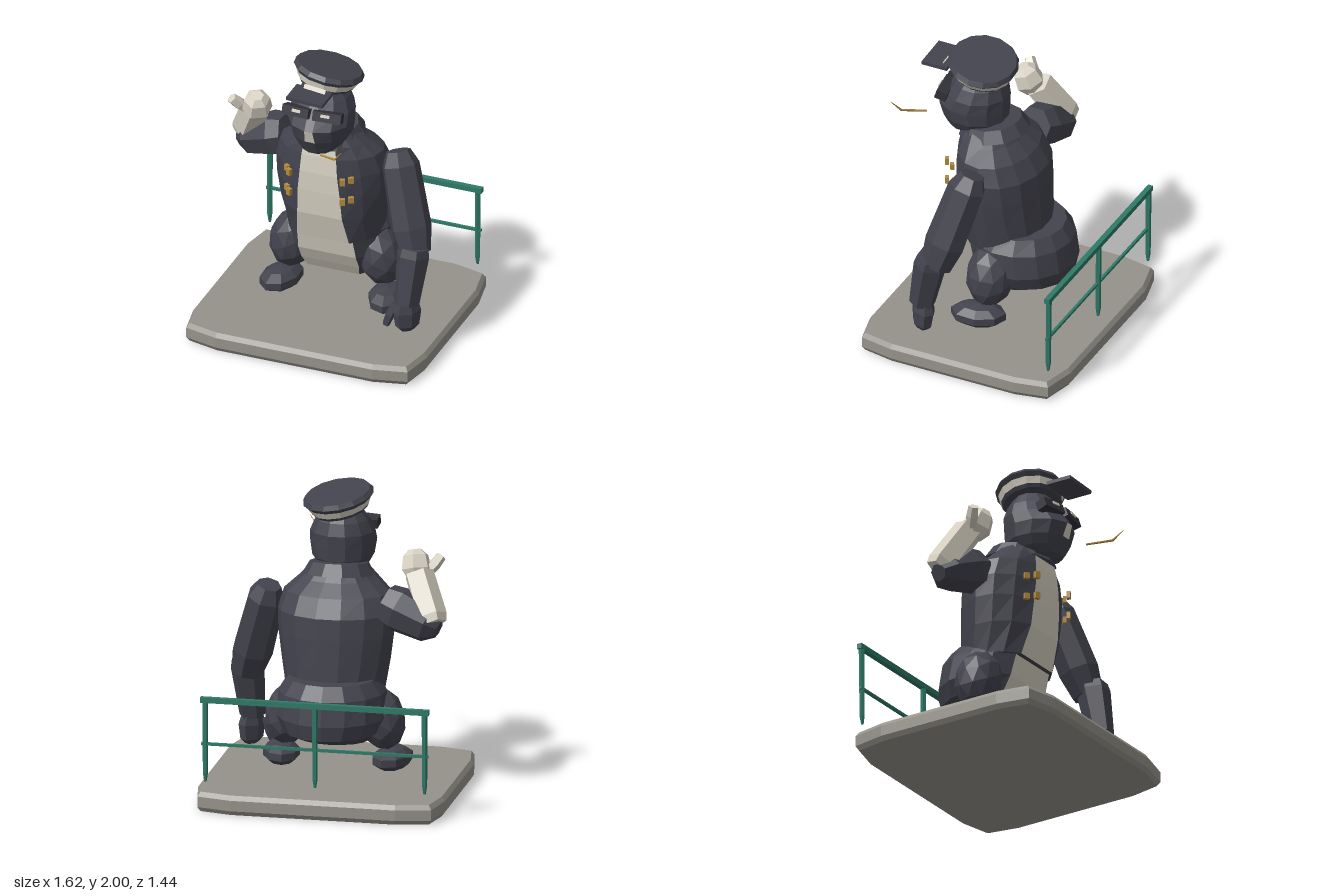
import * as THREE from 'three';

const mat = (name, color) => {
  const m = new THREE.MeshStandardMaterial({ color, flatShading: true });
  m.name = name;
  return m;
};

export function createModel() {
  const root = new THREE.Group();
  root.name = 'seatedCaptain';
  const dark = mat('charcoal', 0x42434d);
  const shade = mat('lensBlack', 0x32323a);
  const cream = mat('cream', 0xd8d2c4);
  const stone = mat('stone', 0x95928a);
  const green = mat('railGreen', 0x2f7a67);
  const gold = mat('gold', 0xb48a40);

  const add = (name, geo, material, pos = [0, 0, 0], rot = [0, 0, 0], parent = root) => {
    const m = new THREE.Mesh(geo, material);
    m.name = name;
    m.position.set(...pos);
    m.rotation.set(...rot);
    parent.add(m);
    return m;
  };
  const box = (name, size, material, pos, rot, parent) =>
    add(name, new THREE.BoxGeometry(...size), material, pos, rot, parent);

  // Rings are [y, centreZ, radiusX, radiusZ, frontHalfWidth]; column 0 is the front strip.
  function loft(rings, sides, isAccent = () => false) {
    const main = [], accent = [];
    const pts = rings.map(([y, c, rx, rz, w]) => {
      const a = Math.asin(Math.min(0.9, w / rx));
      return Array.from({ length: sides }, (_, j) => {
        const t = j === 0 ? -a : a + (j - 1) * (2 * Math.PI - 2 * a) / (sides - 1);
        return [rx * Math.sin(t), y, c + rz * Math.cos(t)];
      });
    });
    const last = rings.length - 1;
    const lowMid = [0, rings[0][0], rings[0][1]], topMid = [0, rings[last][0], rings[last][1]];
    for (let j = 0; j < sides; j++) {
      const k = (j + 1) % sides;
      for (let i = 0; i < last; i++) {
        const A = pts[i][j], B = pts[i][k], C = pts[i + 1][k], D = pts[i + 1][j];
        (isAccent(i, j) ? accent : main).push(...A, ...B, ...C, ...A, ...C, ...D);
      }
      main.push(...lowMid, ...pts[0][k], ...pts[0][j], ...topMid, ...pts[last][j], ...pts[last][k]);
    }
    const g = new THREE.BufferGeometry();
    g.setAttribute('position', new THREE.Float32BufferAttribute([...main, ...accent], 3));
    g.addGroup(0, main.length / 3, 0);
    g.addGroup(main.length / 3, accent.length / 3, 1);
    g.computeVertexNormals();
    return g;
  }

  // Faceted limb from a to b; profile is [fraction, radius] from start to end.
  function limb(name, a, b, profile, material, sides = 6, flat = 1) {
    const A = new THREE.Vector3(...a), d = new THREE.Vector3(...b).sub(A), len = d.length();
    const pts = profile.map(([t, r]) => new THREE.Vector2(r, t * len));
    pts.unshift(new THREE.Vector2(0, profile[0][0] * len));
    pts.push(new THREE.Vector2(0, profile[profile.length - 1][0] * len));
    const g = new THREE.LatheGeometry(pts, sides);
    g.scale(1, 1, flat);
    const m = add(name, g, material, a);
    m.quaternion.setFromUnitVectors(new THREE.Vector3(0, 1, 0), d.normalize());
    return m;
  }

  // Paving slab with clipped corners
  const outline = [];
  for (const [sx, sz, flip] of [[1, 1, 0], [-1, 1, 1], [-1, -1, 0], [1, -1, 1]]) {
    const c = [[0.79, 0.44], [0.75, 0.65], [0.54, 0.70]];
    if (flip) c.reverse();
    outline.push(...c.map(([x, z]) => new THREE.Vector2(sx * x, sz * z)));
  }
  const slab = new THREE.ExtrudeGeometry(new THREE.Shape(outline), {
    depth: 0.07, bevelThickness: 0.03, bevelSize: 0.02, bevelSegments: 1,
  });
  add('slab', slab, stone, [0, 0.04, 0], [-Math.PI / 2, 0, 0]);

  // Railing
  box('topRail', [1.5, 0.035, 0.035], green, [0, 0.755, -0.65]);
  box('midRail', [1.49, 0.018, 0.018], green, [0, 0.46, -0.645]);
  for (const x of [-0.72, 0, 0.72])
    limb('railPost', [x, 0.21, -0.645], [x, 0.76, -0.65], [[0, 0.009], [0.1, 0.018], [1, 0.02]], green, 5);

  // Hips and lower belly
  add('hips', loft([
    [0.38, -0.06, 0.23, 0.17, 0.18], [0.46, -0.14, 0.31, 0.31, 0.2], [0.56, -0.13, 0.36, 0.34, 0.2],
    [0.72, -0.1, 0.35, 0.35, 0.19], [0.81, -0.1, 0.29, 0.29, 0.17],
  ], 13, (i, j) => j === 0), [dark, cream]);

  // Coat with cream shirt front
  add('torso', loft([
    [0.7, -0.01, 0.32, 0.28, 0.18], [0.9, 0.015, 0.355, 0.295, 0.155], [1.08, 0.025, 0.38, 0.295, 0.145],
    [1.22, 0.03, 0.385, 0.29, 0.13], [1.34, 0.06, 0.35, 0.25, 0.12], [1.42, 0.1, 0.26, 0.2, 0.11],
    [1.48, 0.11, 0.2, 0.17, 0.08],
  ], 14, (i, j) => j === 0 && i < 5), [dark, cream]);
  add('collar', new THREE.CylinderGeometry(0.19, 0.235, 0.08, 11), dark, [0, 1.475, 0.1], [0.15, 0, 0]);

  // Legs, feet and coat buttons
  for (const s of [1, -1]) {
    const thigh = add('thigh', new THREE.IcosahedronGeometry(1, 1), dark, [s * 0.305, 0.52, -0.025], [0, 0, s * 0.22]);
    thigh.scale.set(0.155, 0.21, 0.16);
    const foot = add('foot', new THREE.SphereGeometry(1, 8, 5), dark, [s * 0.365, 0.245, 0.03], [0, s * 0.22, 0]);
    foot.scale.set(0.125, 0.078, 0.19);
    for (const y of [1.22, 1.075]) {
      box('innerButton', [0.035, 0.045, 0.025], gold, [s * 0.185, y, 0.345], [0, s * 0.4, 0]);
      box('outerButton', [0.035, 0.04, 0.025], gold, [s * 0.222, y - 0.005, 0.29], [0, s * 0.6, 0]);
    }
  }

  // Lowered left arm
  limb('leftUpperArm', [0.445, 1.35, 0.035], [0.63, 0.72, 0.2],
    [[0, 0.08], [0.14, 0.125], [0.75, 0.135], [1, 0.105]], dark, 7);
  limb('leftForearm', [0.635, 0.78, 0.23], [0.615, 0.4, 0.31],
    [[0, 0.1], [0.15, 0.11], [1, 0.085]], dark, 6);
  limb('leftHand', [0.615, 0.43, 0.3], [0.62, 0.21, 0.31],
    [[0, 0.07], [0.4, 0.1], [0.85, 0.085], [1, 0.05]], dark, 6, 0.65);
  limb('leftThumb', [0.53, 0.38, 0.3], [0.475, 0.22, 0.32],
    [[0, 0.02], [0.55, 0.032], [1, 0.025]], dark, 5);

  // Raised right arm and cream glove
  limb('rightUpperArm', [-0.33, 1.29, -0.02], [-0.69, 1.15, -0.08],
    [[0, 0.13], [0.25, 0.15], [0.8, 0.125], [1, 0.06]], dark, 7);
  limb('rightForearm', [-0.66, 1.19, -0.1], [-0.53, 1.48, 0.05],
    [[0, 0.09], [0.15, 0.105], [1, 0.1]], cream, 5);
  limb('rightHand', [-0.52, 1.43, 0.07], [-0.49, 1.61, 0.14],
    [[0, 0.06], [0.35, 0.1], [0.8, 0.085], [1, 0.045]], cream, 6);
  limb('rightThumb', [-0.58, 1.47, 0.1], [-0.655, 1.57, 0.17],
    [[0, 0.03], [0.5, 0.042], [1, 0.035]], cream, 5);

  // Head with pale mouth patch
  add('head', loft([
    [1.425, 0.29, 0.11, 0.11, 0.03], [1.47, 0.24, 0.165, 0.18, 0.03], [1.53, 0.23, 0.2, 0.22, 0.035],
    [1.62, 0.24, 0.215, 0.237, 0.028], [1.7, 0.21, 0.21, 0.21, 0.03], [1.78, 0.195, 0.175, 0.17, 0.03],
    [1.86, 0.19, 0.12, 0.12, 0.03],
  ], 12, (i, j) => i === 2 && j === 0), [dark, cream]);

  // Dark glasses with pale glints
  for (const s of [1, -1]) {
    box('lens', [0.19, 0.065, 0.075], shade, [s * 0.105, 1.715, 0.395], [-0.3, s * 0.12, 0]);
    box('glint', [0.06, 0.02, 0.006], cream, [s * 0.1, 1.737, 0.436], [-0.3, s * 0.12, 0]);
  }

  // Tilted cap
  const cap = new THREE.Group();
  cap.name = 'cap';
  cap.position.set(0.015, 1.9, 0.17);
  cap.rotation.set(-0.17, 0, -0.17);
  root.add(cap);
  add('capCrown', loft([
    [-0.062, 0, 0.175, 0.185, 0.05], [-0.04, 0, 0.19, 0.2, 0.05], [0.004, 0, 0.212, 0.215, 0.055],
    [0.03, 0, 0.235, 0.23, 0.06], [0.06, 0, 0.215, 0.215, 0.055],
  ], 14, (i) => i === 1), [dark, cream], [0, 0, 0], [0, 0, 0], cap);
  box('capVisor', [0.25, 0.024, 0.18], dark, [0.005, 1.883, 0.465], [0, 0, -0.05]);
  box('capBadge', [0.15, 0.03, 0.008], cream, [0.02, 1.91, 0.41], [-0.5, 0, -0.1]);

  // Bent straw held at the mouth
  limb('strawStem', [0.11, 1.505, 0.53], [0.25, 1.56, 0.64], [[0, 0.007], [1, 0.008]], gold, 5);
  limb('strawTip', [0.25, 1.56, 0.64], [0.315, 1.645, 0.68], [[0, 0.008], [1, 0.002]], gold, 5);

  return root;
}
